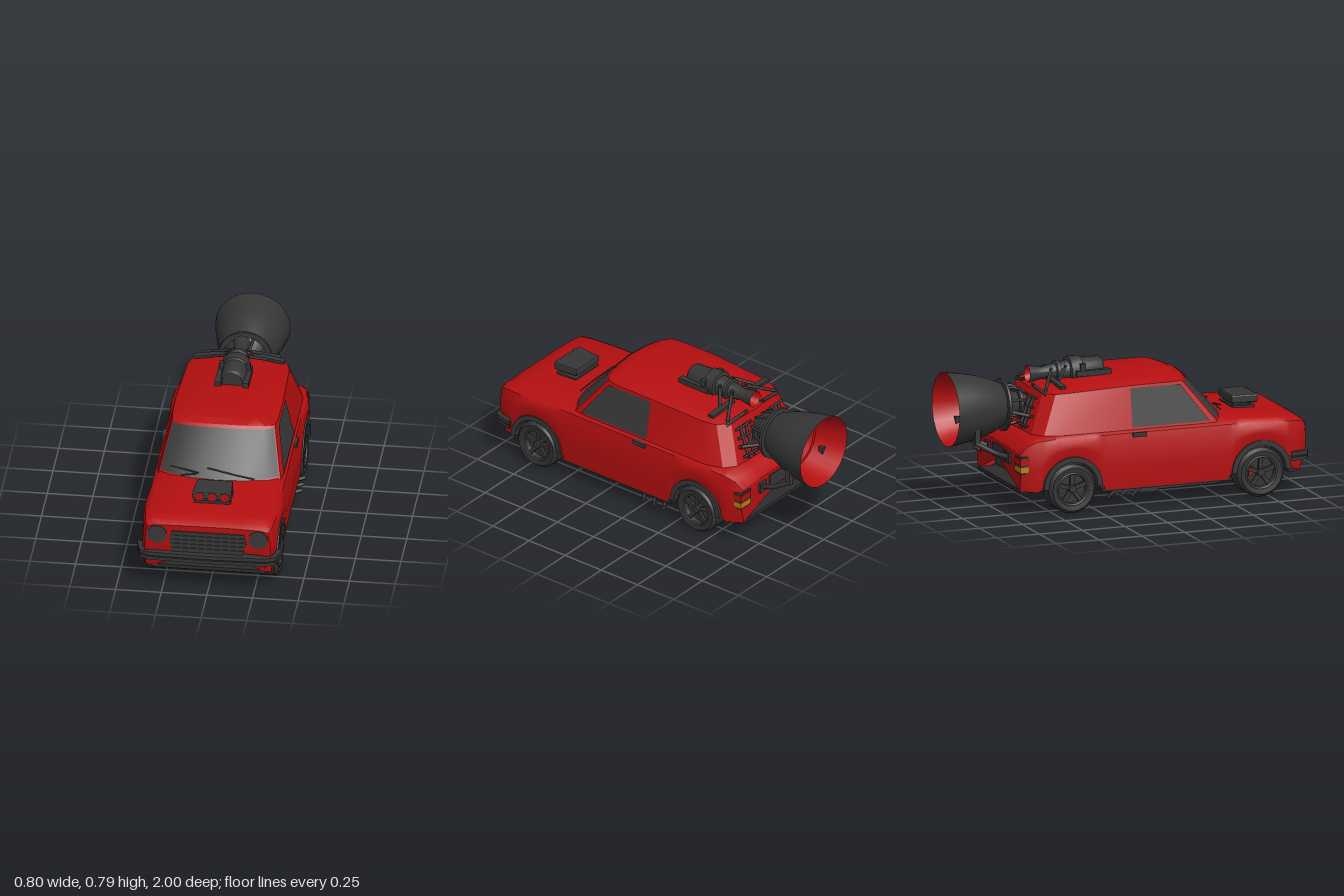
import * as THREE from 'three';
import { toCreasedNormals } from 'three/addons/utils/BufferGeometryUtils.js';

const mat = (name, color) => new THREE.MeshStandardMaterial({ name, color, side: THREE.DoubleSide });
const V = (x, y, z) => new THREE.Vector3(x, y, z);
const lerp = THREE.MathUtils.lerp;

// Skin a grid of points: rows of equal length
function skin(rows, closed = false, crease = 0.6) {
  const n = rows[0].length, index = [];
  const m = closed ? n : n - 1;
  for (let i = 0; i < rows.length - 1; i++) {
    for (let j = 0; j < m; j++) {
      const a = i * n + j, b = i * n + (j + 1) % n, c = a + n, d = b + n;
      index.push(a, b, d, a, d, c);
    }
  }
  const g = new THREE.BufferGeometry().setFromPoints(rows.flat());
  g.setIndex(index);
  return toCreasedNormals(g, crease);
}

export function createModel() {
  const red = mat('red paint', 0xb50f10);
  const dark = mat('dark metal', 0x363636);
  const glass = mat('dark glass', 0x393939);
  const rubber = mat('tyre rubber', 0x343434);
  const under = mat('underbody', 0x2c2c2c);
  const orange = mat('orange lamp', 0xc8760f);

  const car = new THREE.Group();
  car.name = 'rocketCar';
  const add = (name, geo, material, x = 0, y = 0, z = 0, parent = car) => {
    const m = new THREE.Mesh(geo, material);
    m.name = name;
    m.position.set(x, y, z);
    parent.add(m);
    return m;
  };
  const box = (name, w, h, d, material, x, y, z, parent) => add(name, new THREE.BoxGeometry(w, h, d), material, x, y, z, parent);
  const tube = (name, pts, r, material = dark) =>
    add(name, new THREE.TubeGeometry(new THREE.CatmullRomCurve3(pts, false, 'catmullrom', 0.1), (pts.length - 1) * 5, r, 7), material);
  // Lathe turned so that its profile runs towards the rear
  const lathe = (name, prof, material, y, sides = 20) => {
    const g = new THREE.LatheGeometry(prof.map(([d, r]) => new THREE.Vector2(r, d)), sides);
    const m = add(name, toCreasedNormals(g, 0.6), material, 0, y, 0);
    m.rotation.x = -Math.PI / 2;
    return m;
  };

  // Lower body: z, half width, bottom, shoulder, hood edge, hood centre, sill inset
  const stations = [
    [0.965, 0.345, 0.13, 0.39, 0.40, 0.405, 0.045],
    [0.93, 0.362, 0.13, 0.405, 0.422, 0.425, 0.02],
    [0.85, 0.372, 0.12, 0.41, 0.43, 0.435, 0.01],
    [0.70, 0.376, 0.115, 0.415, 0.437, 0.445, 0.01],
    [0.50, 0.372, 0.115, 0.42, 0.445, 0.455, 0.01],
    [-0.20, 0.372, 0.115, 0.42, 0.445, 0.455, 0.01],
    [-0.50, 0.372, 0.12, 0.42, 0.44, 0.445, 0.01],
    [-0.60, 0.362, 0.13, 0.41, 0.428, 0.435, 0.01],
    [-0.65, 0.348, 0.135, 0.39, 0.403, 0.41, 0.015],
    [-0.69, 0.328, 0.14, 0.34, 0.347, 0.352, 0.02],
  ];
  const axles = [0.70, -0.40], archR = 0.172, archY = 0.145;
  const zs = stations.map(s => s[0]);
  for (const a of axles) for (let i = 0; i <= 12; i++) zs.push(a + archR * 0.9999 * Math.cos(i * Math.PI / 12));
  zs.sort((a, b) => b - a);
  const rows = zs.map(z => {
    let k = 0;
    while (k < stations.length - 2 && stations[k + 1][0] > z) k++;
    const A = stations[k], B = stations[k + 1], t = (z - A[0]) / (B[0] - A[0]);
    let [, w, bot, sh, edge, top, inset] = A.map((v, i) => lerp(v, B[i], t));
    for (const a of axles) {
      const d = archR * archR - (z - a) ** 2;
      if (d > 0) bot = archY + Math.sqrt(d);
    }
    const half = [[w - inset, bot], [w, lerp(bot, sh, 0.45)], [w - 0.004, lerp(bot, sh, 0.8)],
      [w - 0.016, sh], [w - 0.05, edge], [w * 0.5, lerp(edge, top, 0.8)]];
    const p = ([x, y], i) => V(x, y, z - (i === 0 && z > 0.96 ? 0.04 : 0));
    return [...half.map(p), V(0, top, z), ...half.map(([x, y], i) => p([-x, y], i)).reverse()];
  });
  const cap = (row) => row.map(p => V(0, 0.26, p.z));
  add('lowerBody', skin([cap(rows[0]), ...rows, cap(rows[rows.length - 1])]), red);

  // Cabin from plan outlines at belt, roof edge, roof
  const belt = [[0, 0.545], [0.15, 0.535], [0.27, 0.50], [0.335, 0.455], [0.345, 0.38], [0.345, 0], [0.345, -0.45], [0.315, -0.55], [0.25, -0.60], [0, -0.61]];
  const eave = [[0, 0.325], [0.13, 0.318], [0.23, 0.298], [0.28, 0.268], [0.29, 0.2], [0.292, 0], [0.278, -0.38], [0.255, -0.46], [0.19, -0.51], [0, -0.525]];
  const drop = z => 0.035 * Math.max(0, (-0.12 - z) / 0.4) ** 1.5;
  const ring = (pts, f) => {
    const h = pts.map(f);
    return [...h, ...h.slice(1, -1).reverse().map(p => V(-p.x, p.y, p.z))];
  };
  const beltP = ([x, z]) => V(x, 0.435, z);
  const eaveP = ([x, z]) => V(x, 0.686 - 0.2 * x * x - drop(z), z);
  const roofP = ([x, z]) => V(x * 0.75, 0.698 - drop(z), z * 0.9 - 0.01);
  add('cabin', skin([ring(belt, beltP), ring(eave, eaveP), ring(eave, roofP),
    ring(eave, ([x, z]) => V(0, 0.702 - drop(z), z * 0.85))], true, 0.5), red);

  // Windscreen follows the front of the cabin
  const cols = [-3, -2, -1, 0, 1, 2, 3];
  const screenRow = v => cols.map(c => {
    const i = Math.abs(c), a = beltP(belt[i]), b = eaveP(eave[i]);
    const p = a.lerp(b, v).add(V(0, 0.004, 0.005));
    p.x *= c < 0 ? -0.975 : 0.975;
    return p;
  });
  add('windscreen', skin([screenRow(0.07), screenRow(0.94)]), glass);
  for (const s of [-1, 1]) {
    tube('wiper', [V(s * 0.2, 0.47, 0.525), V(s * 0.1, 0.485, 0.52), V(s * 0.1 - 0.16, 0.51, 0.502)], 0.004);
  }

  for (const s of [-1, 1]) {
    // Side window, handle, lamps
    const wx = y => s * (0.349 - (y - 0.435) * 0.225);
    const win = [[0.405, 0.447], [0.25, 0.655], [-0.045, 0.447], [-0.042, 0.655]].map(([z, y]) => V(wx(y), y, z));
    add('sideWindow', skin([[win[0], win[1]], [win[2], win[3]]]), glass);
    box('doorHandle', 0.018, 0.025, 0.08, dark, s * 0.362, 0.41, -0.01);
    const lamp = add('headlight', new THREE.CylinderGeometry(0.053, 0.053, 0.06, 16), glass, s * 0.277, 0.345, 0.942);
    lamp.rotation.x = Math.PI / 2;
    box('tailLampFrame', 0.09, 0.095, 0.075, dark, s * 0.3, 0.285, -0.66);
    box('tailLampRed', 0.085, 0.034, 0.08, red, s * 0.304, 0.306, -0.661);
    box('tailLampOrange', 0.085, 0.03, 0.08, orange, s * 0.304, 0.262, -0.661);

    // Wheel arches and wheels
    for (const z of axles) {
      const arch = new THREE.Shape();
      arch.absarc(0, 0, archR, 0, Math.PI, false);
      arch.absarc(0, 0, 0.143, Math.PI, 0, true);
      const lining = add('archLining', new THREE.ExtrudeGeometry(arch, { depth: 0.15, bevelEnabled: false, curveSegments: 12 }), dark, s * 0.372, archY, z);
      lining.rotation.y = -s * Math.PI / 2;
      const back = add('archBack', new THREE.CircleGeometry(archR, 20, 0, Math.PI), under, s * 0.225, archY, z);
      back.rotation.y = s * Math.PI / 2;

      const wheel = new THREE.Group();
      wheel.name = z > 0 ? 'frontWheel' : 'rearWheel';
      wheel.position.set(s * 0.303, 0.137, z);
      wheel.rotation.y = s > 0 ? 0 : Math.PI;
      car.add(wheel);
      const prof = [[0, -0.05], [0.09, -0.065], [0.12, -0.065], [0.137, -0.045], [0.137, 0.045], [0.12, 0.065], [0.09, 0.06], [0.082, 0.025], [0, 0.025]];
      const tyre = add('tyre', toCreasedNormals(new THREE.LatheGeometry(prof.map(p => new THREE.Vector2(...p)), 24), 0.7), rubber, 0, 0, 0, wheel);
      tyre.rotation.z = -Math.PI / 2;
      const rim = add('rim', new THREE.TorusGeometry(0.088, 0.007, 6, 24), dark, 0.058, 0, 0, wheel);
      rim.rotation.y = Math.PI / 2;
      const hub = add('hub', new THREE.CylinderGeometry(0.02, 0.026, 0.035, 12), dark, 0.043, 0, 0, wheel);
      hub.rotation.z = -Math.PI / 2;
      for (let i = 0; i < 5; i++) {
        const a = i * Math.PI * 0.4;
        const spoke = box('spoke', 0.016, 0.075, 0.022, dark, 0.043, 0.05 * Math.cos(a), 0.05 * Math.sin(a), wheel);
        spoke.rotation.x = a;
      }
      if (z > 0) box('brakeCaliper', 0.012, 0.05, 0.022, red, s * 0.334, 0.145, 0.648);
    }

    // Exhaust under the sill
    tube('exhaustPipe', [V(s * 0.14, 0.105, 0.6), V(s * 0.17, 0.09, 0.55), V(s * 0.27, 0.088, 0.5), V(s * 0.27, 0.083, -0.1)], 0.012);
    box('silencer', 0.06, 0.04, 0.12, dark, s * 0.27, 0.09, 0.065);
    for (const z of [-0.06, -0.13, -0.2]) {
      tube('exhaustTip', [V(s * 0.27, 0.085, z + 0.14), V(s * 0.3, 0.085, z + 0.06), V(s * 0.385, 0.085, z)], 0.011);
    }
  }

  // Underbody
  box('floor', 0.46, 0.02, 1.58, under, 0, 0.118, 0.125);
  box('midFloor', 0.72, 0.02, 0.76, under, 0, 0.118, 0.15);
  box('frontFloor', 0.62, 0.02, 0.05, under, 0, 0.125, 0.9);
  box('rearFloor', 0.62, 0.02, 0.11, under, 0, 0.135, -0.63);

  // Grille, bumper, rear plate
  const poly = pts => new THREE.Shape(pts.map(p => new THREE.Vector2(...p)));
  const grille = [[-0.2, 0.37], [-0.212, 0.31], [-0.19, 0.245], [0.19, 0.245], [0.212, 0.31], [0.2, 0.37]];
  add('grille', new THREE.ExtrudeGeometry(poly(grille), { depth: 0.008, bevelEnabled: false }), dark, 0, 0, 0.963);
  for (let i = 0; i < 4; i++) box('grilleBar', 0.4, 0.005, 0.006, dark, 0, 0.27 + i * 0.025, 0.972);
  [[0.242, 0.022, 0], [0.222, 0.012, 0.012], [0.212, 0.018, 0.002]].forEach(([y, depth, d]) => {
    const outer = [[-0.4 + d, 0.86], [-0.375 + d, 0.965 - d], [-0.32, 0.99 - d], [0, 1 - d]];
    const half = [...outer, ...outer.slice(0, 3).reverse().map(([x, z]) => [-x, z])];
    const shape = poly([...half, [0.36, 0.88], [0.33, 0.94], [-0.33, 0.94], [-0.36, 0.88]]);
    add('frontBumper', new THREE.ExtrudeGeometry(shape, { depth, bevelEnabled: false }), dark, 0, y, 0).rotation.x = Math.PI / 2;
  });
  box('rearPlate', 0.17, 0.075, 0.008, dark, 0, 0.295, -0.693);

  // Hood intake with three throats
  box('intakeBase', 0.2, 0.02, 0.13, dark, 0, 0.446, 0.70);
  box('intakeNeck', 0.15, 0.04, 0.1, dark, 0, 0.47, 0.70);
  const scoop = poly([[-0.1, 0.77], [0.1, 0.77], [0.09, 0.64], [-0.09, 0.64]]);
  add('intakeScoop', new THREE.ExtrudeGeometry(scoop, { depth: 0.03, bevelEnabled: true, bevelSize: 0.008, bevelThickness: 0.008, bevelSegments: 2 }), dark, 0, 0.507, 0).rotation.x = Math.PI / 2;
  for (const x of [-0.07, 0, 0.07]) {
    add('throat', new THREE.CylinderGeometry(0.028, 0.026, 0.05, 12), dark, x, 0.488, 0.757).rotation.x = Math.PI / 2;
    add('throatMouth', new THREE.CircleGeometry(0.024, 12), red, x, 0.488, 0.784);
  }

  // Rear rocket nozzle
  const ny = 0.555;
  lathe('nozzle', [[0.5, 0.045], [0.575, 0.06], [0.578, 0.09], [0.592, 0.09], [0.594, 0.065], [0.63, 0.075], [0.665, 0.115], [0.667, 0.145], [0.682, 0.145], [0.685, 0.12], [0.75, 0.15], [0.82, 0.173], [0.91, 0.192], [1, 0.206]], dark, ny, 24);
  lathe('nozzleInside', [[1, 0.204], [0.91, 0.182], [0.82, 0.16], [0.818, 0.145], [0.74, 0.13], [0.738, 0.115], [0.67, 0.09], [0.62, 0.05], [0.62, 0]], red, ny, 24);
  for (let i = 0; i < 8; i++) {
    const a = (i + 0.5) * Math.PI / 4, c = Math.cos(a), q = Math.sin(a);
    tube('nozzlePipe', [V(c * 0.07, ny + q * 0.07, -0.55), V(c * 0.1, ny + q * 0.1, -0.6), V(c * 0.115, ny + q * 0.115, -0.67)], 0.008);
  }
  for (const s of [-1, 1]) {
    tube('nozzleStrut', [V(s * 0.15, 0.29, -0.68), V(s * 0.165, 0.33, -0.78), V(s * 0.15, 0.385, -0.88)], 0.014);
    box('strutFoot', 0.06, 0.06, 0.02, dark, s * 0.15, 0.295, -0.693);
    box('strutBracket', 0.03, 0.1, 0.03, dark, s * 0.145, 0.425, -0.875);
    tube('sideStrut', [V(s * 0.2, 0.52, -0.57), V(s * 0.13, 0.54, -0.67)], 0.01);
    // Ladder bracket on the tail
    for (const x of [0.12, 0.165]) tube('tailRail', [V(s * x, 0.45, -0.615), V(s * x, 0.62, -0.555)], 0.009);
    for (const t of [0.1, 0.4, 0.7, 1]) tube('tailRung', [V(s * 0.07, 0.45 + t * 0.17, -0.615 + t * 0.06), V(s * 0.2, 0.45 + t * 0.17, -0.61 + t * 0.06)], 0.008);

    // Roof engine mounts
    box('roofRail', 0.035, 0.03, 0.2, dark, s * 0.075, 0.708, -0.17);
    box('roofBracket', 0.03, 0.05, 0.03, dark, s * 0.07, 0.735, -0.23);
    const wing = box('crossPlate', 0.18, 0.016, 0.035, dark, s * 0.16, 0.69, -0.42);
    wing.rotation.set(0, -s * 0.08, -s * 0.12);
    tube('roofStrut', [V(s * 0.05, 0.75, -0.32), V(s * 0.15, 0.695, -0.40)], 0.009);
    tube('roofStrut', [V(s * 0.04, 0.74, -0.40), V(s * 0.21, 0.66, -0.50)], 0.009);
    tube('roofStrut', [V(s * 0.06, 0.67, -0.52), V(s * 0.22, 0.64, -0.5)], 0.009);
  }

  // Roof engine
  lathe('roofEngine', [[0.09, 0], [0.095, 0.055], [0.11, 0.066], [0.22, 0.07], [0.225, 0.08], [0.29, 0.08], [0.295, 0.06], [0.34, 0.052], [0.345, 0.062], [0.365, 0.062], [0.37, 0.048], [0.44, 0.034], [0.48, 0.04], [0.525, 0.048]], dark, 0.713, 18);
  lathe('roofEngineInside', [[0.525, 0.046], [0.49, 0.035], [0.45, 0.022], [0.45, 0]], red, 0.713, 18);
  return car;
}
